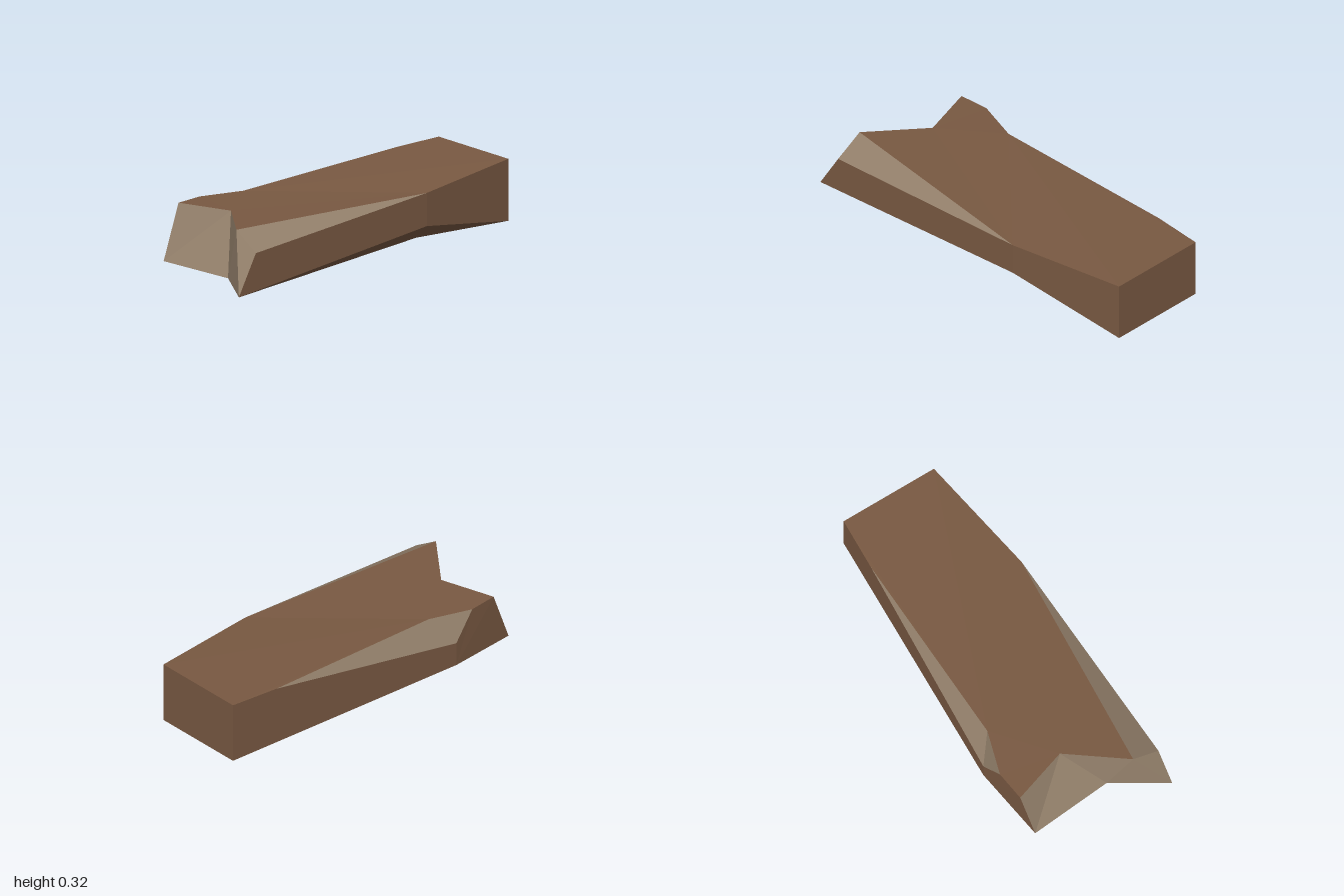
import * as THREE from 'three';

// Corner points of the broken plank
const P = {
  // sawn end
  endFrontLow: [0.965, 0, 0.305], endFrontTop: [0.965, 0.323, 0.305],
  endBackLow: [1, 0, -0.225], endBackTop: [1, 0.323, -0.225],
  // bends along the long sides
  frontLow: [0.315, 0.12, 0.38], frontTop: [0.315, 0.293, 0.38],
  frontUnder: [0.35, 0.03, 0.27],
  backLow: [-0.42, 0.03, -0.38], backMid: [-0.42, 0.157, -0.38],
  // chipped back edge
  chipStart: [0.725, 0.317, -0.255], chipIn: [-0.32, 0.298, -0.284], chipEnd: [-0.545, 0.297, -0.367],
  // splintered end
  tip: [-1, 0.014, 0.368], tipSide: [-0.88, 0.22, 0.368], tipTop: [-0.87, 0.31, 0.22],
  notchTop: [-0.63, 0.303, -0.06], notchLow: [-0.81, 0.02, 0.1],
  cornerTop: [-0.705, 0.299, -0.357], cornerLow: [-0.82, 0.02, -0.347],
};

// Each face is a list of corner names, fanned from its first corner
function facesMesh(name, faces, material) {
  const pos = [];
  for (const face of faces) {
    const c = face.split(' ').map((key) => P[key]);
    for (let i = 1; i < c.length - 1; i++) pos.push(...c[0], ...c[i], ...c[i + 1]);
  }
  const geometry = new THREE.BufferGeometry();
  geometry.setAttribute('position', new THREE.Float32BufferAttribute(pos, 3));
  geometry.computeVertexNormals();
  const mesh = new THREE.Mesh(geometry, material);
  mesh.name = name;
  return mesh;
}

export function createModel() {
  const bark = new THREE.MeshStandardMaterial({ color: 0x795942 });
  bark.name = 'brown wood';
  const raw = new THREE.MeshStandardMaterial({ color: 0x927f6a });
  raw.name = 'pale broken wood';

  const model = new THREE.Group();
  model.name = 'brokenPlank';
  model.add(
    facesMesh('plankTop', [
      'notchTop tipTop frontTop chipIn chipEnd cornerTop',
      'chipIn frontTop endFrontTop endBackTop chipStart',
    ], bark),
    // nearly flat underside with a steep chip along its front edge
    facesMesh('plankUnderside', [
      'frontUnder tip notchLow cornerLow backLow endBackLow endFrontLow',
      'frontUnder endFrontLow frontLow tip',
    ], bark),
    facesMesh('plankSides', [
      'tip frontLow frontTop tipSide',
      'frontLow endFrontLow endFrontTop frontTop',
      'endFrontLow endBackLow endBackTop endFrontTop',
      'endBackLow backLow backMid chipStart endBackTop',
      'backLow cornerLow cornerTop chipEnd backMid',
    ], bark),
    // pale wood where the edges are chipped off
    facesMesh('chippedEdges', [
      'tipSide frontTop tipTop',
      'chipStart backMid chipIn',
      'backMid chipEnd chipIn',
    ], raw),
    // pale wood of the splintered end
    facesMesh('splinteredEnd', [
      'cornerLow notchTop cornerTop',
      'cornerLow notchLow notchTop',
      'notchLow tipTop notchTop',
      'notchLow tip tipTop',
      'tip tipSide tipTop',
    ], raw),
  );
  return model;
}
